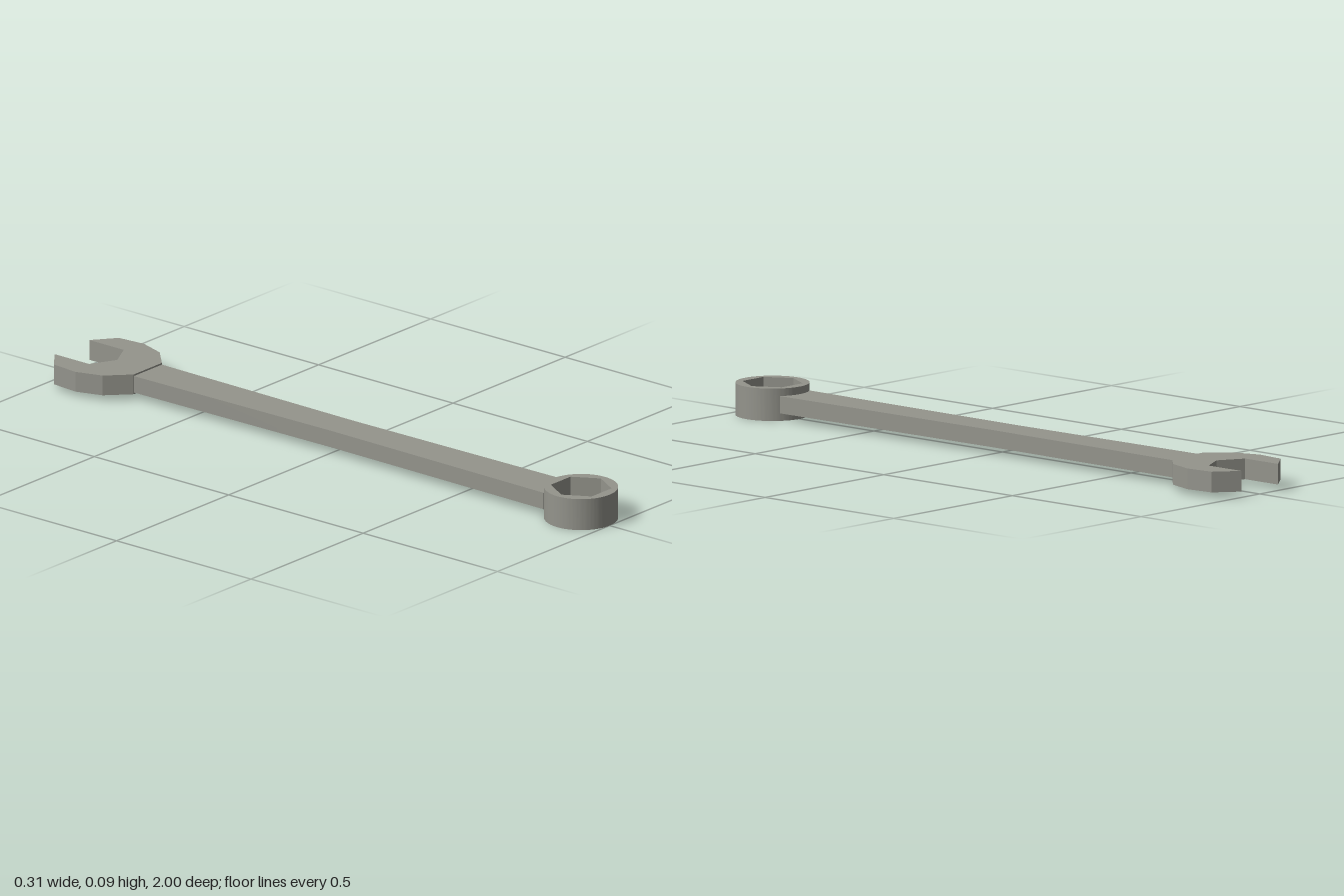
import * as THREE from 'three';
import { toCreasedNormals } from 'three/addons/utils/BufferGeometryUtils.js';

const steel = new THREE.MeshStandardMaterial({ color: 0x94948c });
steel.name = 'steel';

// Outline points are (x, z); the plate spans bottom to top in y.
function plate(name, shape, bottom, top) {
  const flat = new THREE.ExtrudeGeometry(shape, {
    depth: top - bottom, bevelEnabled: false, curveSegments: 64,
  });
  flat.rotateX(Math.PI / 2).translate(0, top, 0);
  const mesh = new THREE.Mesh(toCreasedNormals(flat, 0.3), steel);
  mesh.name = name;
  return mesh;
}

// Closes a half outline by mirroring it across x = 0.
function mirrored(half) {
  const points = half.map(([x, z]) => new THREE.Vector2(x, z));
  const other = half.filter(([x]) => x > 0).reverse()
    .map(([x, z]) => new THREE.Vector2(-x, z));
  return new THREE.Shape([...points, ...other]);
}

export function createModel() {
  const wrench = new THREE.Group();
  wrench.name = 'wrench';

  // Open jaw with a V-bottomed slot
  const jaw = mirrored([
    [0, -0.832], [0.077, -0.872], [0.077, -1], [0.145, -0.947],
    [0.153, -0.86], [0.127, -0.78], [0.063, -0.718],
  ]);
  wrench.add(plate('openJaw', jaw, 0.017, 0.077));

  // Handle, slightly waisted at the middle
  const handle = mirrored([[0.0625, -0.722], [0.053, 0], [0.0625, 0.807]]);
  wrench.add(plate('handle', handle, 0.022, 0.072));

  // Round ring with a hexagonal socket
  const ringZ = 0.894;
  const ring = new THREE.Shape().absarc(0, ringZ, 0.106, 0, Math.PI * 2);
  const socket = [];
  for (let i = 0; i < 6; i++) {
    const a = -i * Math.PI / 3;
    socket.push(new THREE.Vector2(0.088 * Math.cos(a), ringZ + 0.088 * Math.sin(a)));
  }
  ring.holes.push(new THREE.Path(socket));
  wrench.add(plate('ringEnd', ring, 0, 0.094));

  return wrench;
}
